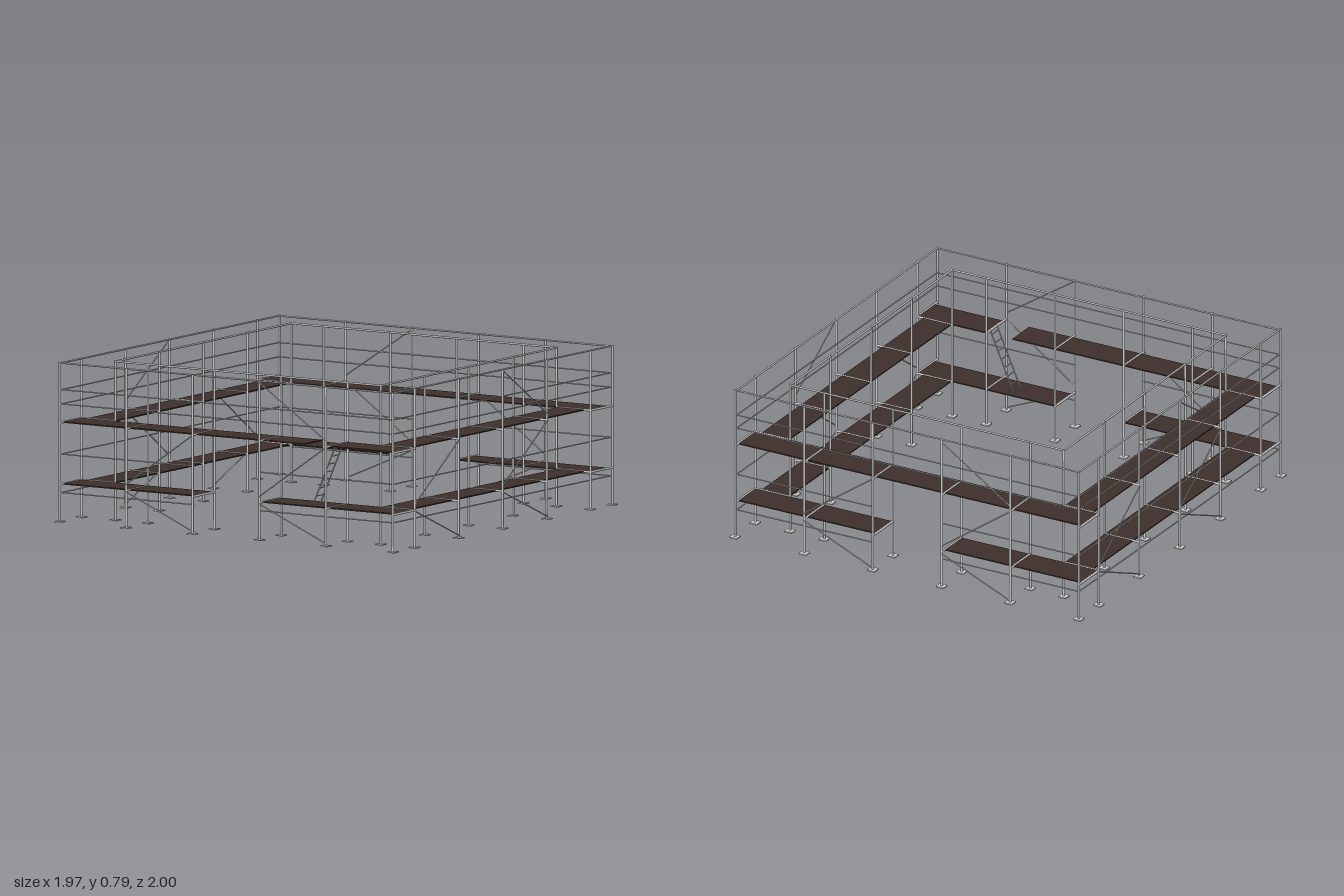
import * as THREE from 'three';

const metal = new THREE.MeshStandardMaterial({ color: 0xcccccc });
const wood = new THREE.MeshStandardMaterial({ color: 0x3d2f2a });
const UP = new THREE.Vector3(0, 1, 0);

// Plan positions of the frames
const OX = 0.965, OZ = 0.978, IX = 0.769, IZ = 0.784;
const XS = [-OX, -0.58, -0.195, 0.191, 0.577, OX];
const ZS = [-IZ, -0.395, 0, 0.392, IZ];
const TOP = 0.781, DECKS = [0.187, 0.49], PASSAGE = 2;

function pipe(group, name, a, b, r = 0.004) {
  const p = new THREE.Vector3(...a), q = new THREE.Vector3(...b);
  const dir = q.clone().sub(p);
  const mesh = new THREE.Mesh(new THREE.CylinderGeometry(r, r, dir.length(), 8), metal);
  mesh.position.copy(p).add(q).multiplyScalar(0.5);
  mesh.quaternion.setFromUnitVectors(UP, dir.normalize());
  mesh.name = name;
  group.add(mesh);
}

function box(group, name, x0, x1, y0, y1, z0, z1, material) {
  const mesh = new THREE.Mesh(new THREE.BoxGeometry(x1 - x0, y1 - y0, z1 - z0), material);
  mesh.position.set((x0 + x1) / 2, (y0 + y1) / 2, (z0 + z1) / 2);
  mesh.name = name;
  group.add(mesh);
}

function part(parent, name) {
  const g = new THREE.Group();
  g.name = name;
  parent.add(g);
  return g;
}

export function createModel() {
  const model = new THREE.Group();
  model.name = 'scaffold';
  const posts = part(model, 'posts');
  const transoms = part(model, 'transoms');
  const rails = part(model, 'rails');
  const braces = part(model, 'braces');
  const decks = part(model, 'decks');
  const ladder = part(model, 'ladder');

  // Posts on square base plates
  const spots = [];
  for (const s of [-1, 1]) {
    for (const x of XS) spots.push([x, s * OZ], [x, s * IZ]);
    for (const z of ZS) {
      spots.push([s * IX, z]);
      if (Math.abs(z) < IZ) spots.push([s * OX, z]);
    }
  }
  for (const [x, z] of spots) {
    pipe(posts, 'post', [x, 0, z], [x, TOP + 0.004, z], 0.006);
    box(posts, 'basePlate', x - 0.021, x + 0.021, 0, 0.006, z - 0.021, z + 0.021, metal);
  }

  // Transoms between the deck panels, joining the outer and inner posts
  for (const s of [-1, 1]) {
    for (const deck of DECKS) {
      const y = deck - 0.002;
      for (const x of XS) pipe(transoms, 'transom', [x, y, s * OZ], [x, y, s * IZ], 0.006);
      for (const z of ZS) pipe(transoms, 'transom', [s * OX, y, z], [s * IX, y, z], 0.006);
    }
  }

  // Outer guard rails; the low ones leave the front and back passages open
  for (const s of [-1, 1]) {
    for (const y of [0.145, 0.334, 0.58, 0.65, TOP]) {
      const r = y === TOP ? 0.0045 : 0.0033;
      pipe(rails, 'sideRail', [s * (OX - 0.004), y, -OZ], [s * (OX - 0.004), y, OZ], r);
      const z = s * (OZ - 0.008);
      if (y > 0.5) pipe(rails, 'endRail', [-OX, y, z], [OX, y, z], r);
      else for (const m of [-1, 1]) pipe(rails, 'endRail', [m * OX, y, z], [m * XS[3], y, z], r);
    }
    // Inner top rails
    pipe(rails, 'innerRail', [s * IX, TOP, -IZ], [s * IX, TOP, IZ], 0.005);
    pipe(rails, 'innerRail', [-IX, TOP, s * IZ], [IX, TOP, s * IZ], 0.005);
  }

  // Zigzag braces climbing from a low foot: a is the foot side, b the far side
  const lifts = [[0.015, 0.18], [0.215, 0.485], [0.52, 0.776]];
  function zigzag(a, b, count, at) {
    for (let i = 0; i < count; i++) {
      const [from, to] = i % 2 ? [b, a] : [a, b];
      pipe(braces, 'brace', at(from, lifts[i][0]), at(to, lifts[i][1]), 0.0033);
    }
  }
  // The layout repeats when turned half way round
  for (const s of [-1, 1]) {
    const end = (u, y) => [s * u, y, s * (OZ + 0.003)];
    zigzag(XS[4], XS[3], 3, end);
    zigzag(XS[2], XS[1], 2, end);
    const side = (u, y) => [s * (OX + 0.003), y, s * u];
    zigzag(ZS[1], ZS[2], 3, side);
    zigzag(ZS[3], ZS[4], 2, side);
  }

  // Deck boards, one panel per bay, with a ladder opening in the upper front
  const gap = 0.003, thick = 0.006;
  DECKS.forEach((y, level) => {
    for (const s of [-1, 1]) {
      const z0 = s > 0 ? IZ + 0.003 : -0.948, z1 = s > 0 ? 0.948 : -IZ - 0.003;
      for (let i = 0; i < 5; i++) {
        if (level === 0 && i === PASSAGE) continue;
        const hatch = level === 1 && s > 0 && i === 3;
        const x1 = hatch ? 0.435 : XS[i + 1];
        box(decks, 'endDeck', XS[i] + gap, x1 - gap, y - thick, y, z0, z1, wood);
      }
      const x0 = s > 0 ? 0.775 : -0.932, x1 = s > 0 ? 0.929 : -0.775;
      for (let i = 0; i < 4; i++) {
        box(decks, 'sideDeck', x0, x1, y - thick, y, ZS[i] + gap, ZS[i + 1] - gap, wood);
      }
    }
  });

  // Leaning ladder between the two front decks
  const foot = [0.442, DECKS[0]], head = [0.574, DECKS[1]];
  for (const z of [0.817, 0.883]) {
    pipe(ladder, 'ladderRail', [foot[0], foot[1], z], [head[0], head[1], z], 0.0033);
  }
  for (let i = 1; i <= 7; i++) {
    const t = i / 7.5;
    const x = foot[0] + (head[0] - foot[0]) * t, y = foot[1] + (head[1] - foot[1]) * t;
    pipe(ladder, 'rung', [x, y, 0.817], [x, y, 0.883], 0.003);
  }
  return model;
}
